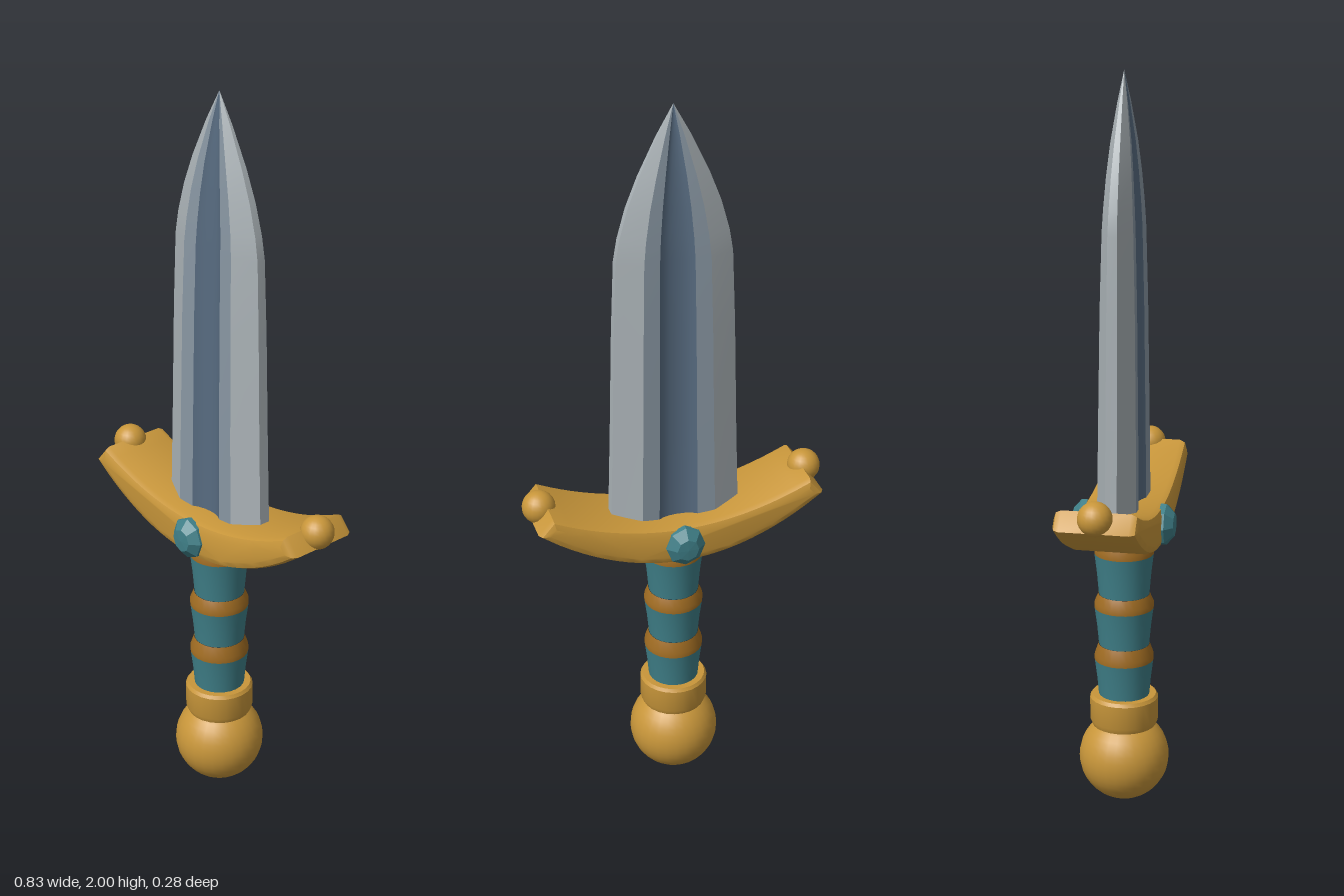
import * as THREE from 'three';
import { toCreasedNormals } from 'three/addons/utils/BufferGeometryUtils.js';

const material = (name, color, extra = {}) => {
  const m = new THREE.MeshStandardMaterial({ color, ...extra });
  m.name = name;
  return m;
};

export function createModel() {
  const gold = material('gold', 0xc8963a);
  const bronze = material('bronze', 0xa06c22);
  const teal = material('teal', 0x3f7f88);
  const gemTeal = material('gem teal', 0x3f7f88, { flatShading: true });
  const steel = material('steel', 0xaab2b6);
  const greySteel = material('grey steel', 0x8896a2);
  const blueSteel = material('blue steel', 0x576b80);

  const model = new THREE.Group();
  model.name = 'dagger';
  const add = (name, geometry, mat, x = 0, y = 0, z = 0) => {
    const mesh = new THREE.Mesh(geometry, mat);
    mesh.name = name;
    mesh.position.set(x, y, z);
    model.add(mesh);
    return mesh;
  };
  const lathe = (points) => toCreasedNormals(
    new THREE.LatheGeometry(points.map(([r, y]) => new THREE.Vector2(r, y)), 24), 0.5);

  // Pommel and its collar
  add('pommel', new THREE.SphereGeometry(0.124, 28, 20), gold, 0, 0.124, 0);
  add('collar', lathe([[0, 0.2], [0.088, 0.22], [0.094, 0.235], [0.094, 0.3], [0.088, 0.309], [0, 0.309]]), gold);

  // Grip sections flare upward and are separated by bulging bands
  [[0.3, 0.41], [0.455, 0.56], [0.6, 0.715]].forEach(([a, b], i) => {
    const mid = (a + b) / 2;
    add('gripSection' + (i + 1), lathe([[0.069, a], [0.074, mid], [0.081, b]]), teal);
    const top = [0.455, 0.6, 0.76][i];
    add('gripBand' + (i + 1), lathe([[0.081, b], [0.081, b + 0.015], [0.07, top]]), bronze);
  });

  // Curved guard with chamfered rims
  const outline = new THREE.Shape();
  outline.moveTo(-0.366, 0.897);
  outline.quadraticCurveTo(0, 0.633, 0.366, 0.897);
  outline.lineTo(0.35, 0.915);
  outline.quadraticCurveTo(0, 0.755, -0.35, 0.915);
  outline.closePath();
  const guard = new THREE.ExtrudeGeometry(outline, {
    depth: 0.18, curveSegments: 24, bevelThickness: 0.02, bevelSize: 0.02, bevelSegments: 2,
  });
  guard.translate(0, 0, -0.09);
  add('guard', toCreasedNormals(guard, 0.45), gold);

  // Guard end balls, and a faceted gem on each face
  for (const s of [-1, 1]) {
    add(s > 0 ? 'leftGuardBall' : 'rightGuardBall', new THREE.SphereGeometry(0.045, 20, 14), gold, s * 0.371, 0.926, 0);
    const profile = [[0.054, 0], [0.054, 0.016], [0.03, 0.038], [0, 0.04]];
    const gem = add(s > 0 ? 'frontGem' : 'backGem',
      new THREE.LatheGeometry(profile.map(([r, y]) => new THREE.Vector2(r, y)), 8), gemTeal, 0, 0.802, s * 0.1);
    gem.rotation.x = s * Math.PI / 2;
    gem.scale.z = 1.06;
  }

  // Blade stations: height, half width, half thickness
  const stations = [
    [0.82, 0.179, 0.053], [1.1, 0.17, 0.05], [1.4, 0.162, 0.046], [1.6, 0.154, 0.041],
    [1.66, 0.144, 0.038], [1.74, 0.122, 0.033], [1.82, 0.091, 0.026], [1.92, 0.044, 0.013], [2, 0, 0],
  ];
  // Half of the front cross-section, from the edge to the bottom of the fuller
  const section = [[1, 0.3], [0.57, 1], [0.3, 0.95], [0.22, 0.77], [0.12, 0.66], [0, 0.62]];
  const front = [...section, ...section.slice(0, -1).reverse().map(([x, z]) => [-x, z])];
  const strip = (points, name, mat, back) => {
    const pos = [], index = [], n = points.length;
    for (const [y, w, t] of stations)
      for (const [x, z] of points) pos.push(back ? -x * w : x * w, y, back ? -z * t : z * t);
    for (let i = 0; i < stations.length - 1; i++)
      for (let j = 0; j < n - 1; j++) {
        const a = i * n + j, c = a + n;
        index.push(a, c, a + 1);
        if (i < stations.length - 2) index.push(a + 1, c, c + 1);
      }
    const g = new THREE.BufferGeometry();
    g.setAttribute('position', new THREE.Float32BufferAttribute(pos, 3));
    g.setIndex(index);
    g.computeVertexNormals();
    add(name, g, mat);
  };
  for (const back of [false, true]) {
    const side = back ? 'back' : 'front';
    strip(front.slice(0, 2), side + 'BevelA', steel, back);
    strip(front.slice(1, 3), side + 'FlatA', greySteel, back);
    strip(front.slice(2, 9), side + 'Fuller', blueSteel, back);
    strip(front.slice(8, 10), side + 'FlatB', greySteel, back);
    strip(front.slice(9), side + 'BevelB', steel, back);
    strip([[-1, 0.3], [-1, -0.3]], side + 'Edge', steel, back);
  }
  return model;
}
